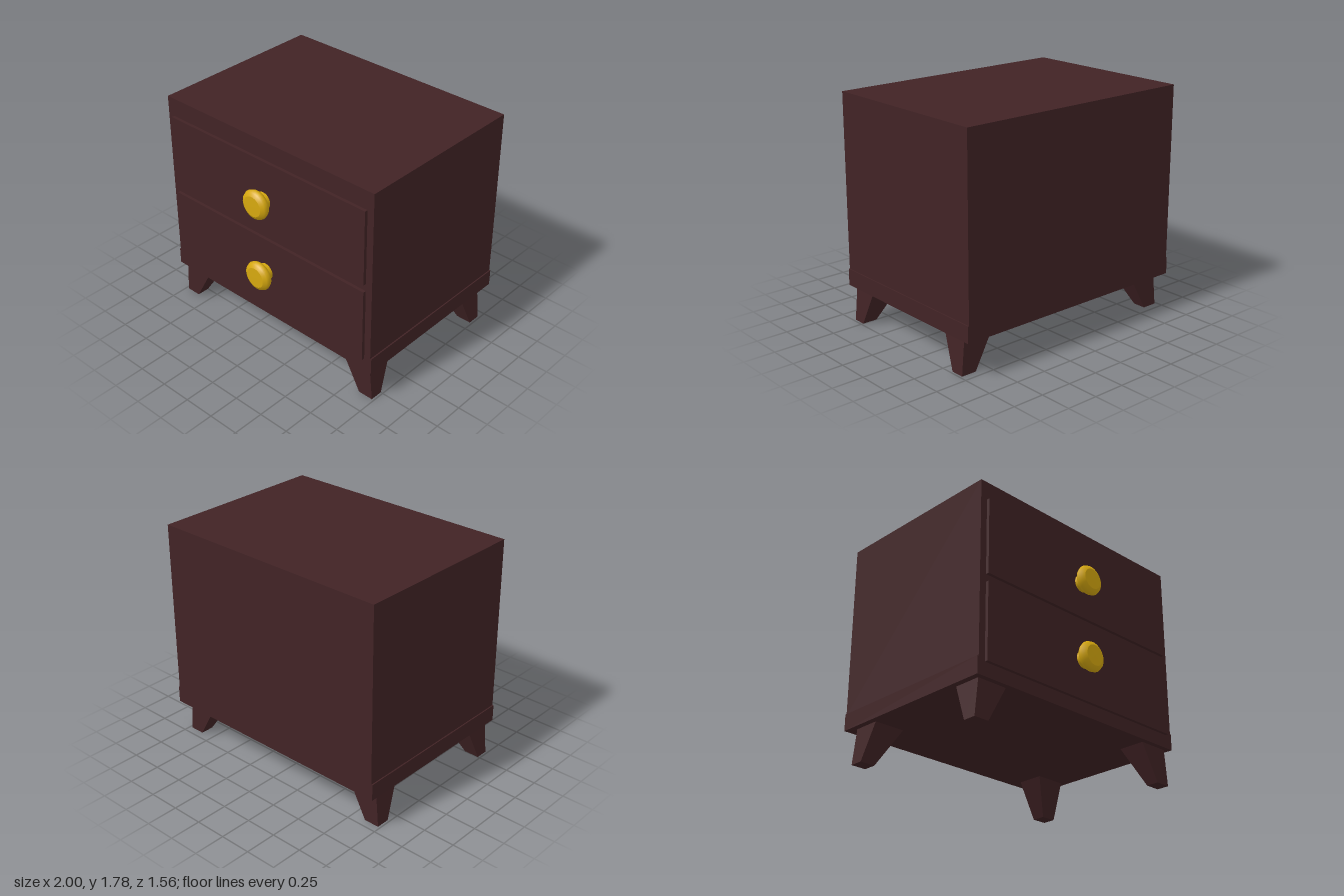
import * as THREE from 'three';

const wood = new THREE.MeshStandardMaterial({ color: 0x412325 });
wood.name = 'dark wood';
const brass = new THREE.MeshStandardMaterial({ color: 0xd6a80f });
brass.name = 'brass';

// Box given by its limits on each axis
function block(name, [x0, x1], [y0, y1], [z0, z1]) {
  const geo = new THREE.BoxGeometry(x1 - x0, y1 - y0, z1 - z0);
  geo.translate((x0 + x1) / 2, (y0 + y1) / 2, (z0 + z1) / 2);
  const mesh = new THREE.Mesh(geo, wood);
  mesh.name = name;
  return mesh;
}

// Tapered leg: each end is a rectangle from its inner to its outer limits
function leg(name, sx, top, bottom) {
  const geo = new THREE.BoxGeometry(1, 1, 1);
  const p = geo.attributes.position;
  for (let i = 0; i < p.count; i++) {
    const end = p.getY(i) > 0 ? top : bottom;
    const x = p.getX(i) * sx > 0 ? end.x[1] : end.x[0];
    const z = p.getZ(i) > 0 ? end.z[1] : end.z[0];
    p.setXYZ(i, sx * x, end.y, z);
  }
  geo.computeVertexNormals();
  const mesh = new THREE.Mesh(geo, wood);
  mesh.name = name;
  return mesh;
}

// Turned knob: stem, rounded rim and flat cap, turned to face the front
function knob(name, y) {
  const group = new THREE.Group();
  group.name = name;
  const turned = (part, points) => {
    const geo = new THREE.LatheGeometry(points.map(([r, h]) => new THREE.Vector2(r, h)), 32);
    geo.rotateX(Math.PI / 2);
    const mesh = new THREE.Mesh(geo, brass);
    mesh.name = part;
    group.add(mesh);
  };
  turned('knobStem', [[0.067, 0], [0.067, 0.05]]);
  turned('knobHead', [[0, 0.04], [0.085, 0.04], [0.085, 0.04], [0.107, 0.053], [0.117, 0.076],
    [0.107, 0.099], [0.08, 0.114], [0.08, 0.114], [0, 0.115]]);
  group.position.set(0, y, 0.665);
  return group;
}

export function createModel() {
  const model = new THREE.Group();
  model.name = 'nightstand';

  // Cabinet and the slightly wider plinth
  model.add(block('cabinet', [-0.99, 0.99], [0.4, 1.78], [-0.78, 0.64]));
  model.add(block('plinth', [-1, 1], [0.28, 0.41], [-0.78, 0.64]));

  // Two drawers, each with a knob
  [['lower', 0.385], ['upper', 1.04]].forEach(([side, y]) => {
    model.add(block(side + 'Drawer', [-0.935, 0.935], [y, y + 0.595], [0.6, 0.665]));
    model.add(knob(side + 'Knob', side === 'lower' ? 0.697 : 1.315));
  });

  // Four splayed legs
  for (const [side, sx] of [['left', 1], ['right', -1]]) {
    model.add(leg(side + 'FrontLeg', sx,
      { y: 0.28, x: [0.705, 0.955], z: [0.385, 0.6] },
      { y: 0, x: [0.86, 0.982], z: [0.5, 0.6] }));
    model.add(leg(side + 'BackLeg', sx,
      { y: 0.28, x: [0.705, 0.955], z: [-0.685, -0.47] },
      { y: 0, x: [0.86, 0.982], z: [-0.69, -0.585] }));
  }
  return model;
}
